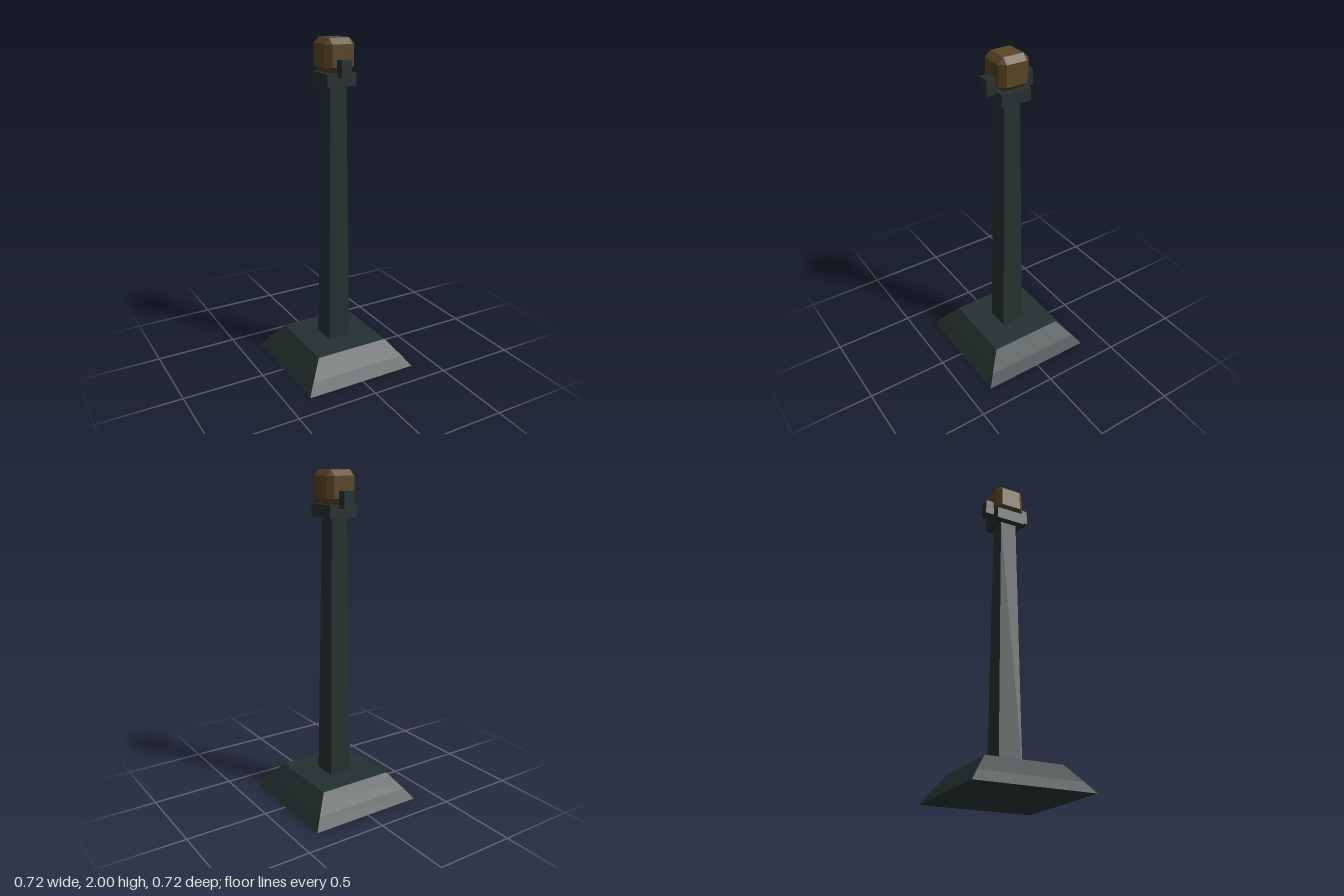
import * as THREE from 'three';
import { ConvexGeometry } from 'three/addons/geometries/ConvexGeometry.js';

const darkMetal = new THREE.MeshStandardMaterial({ name: 'darkMetal', color: 0x253231, side: THREE.DoubleSide });
const amber = new THREE.MeshStandardMaterial({ name: 'amber', color: 0x594626 });

// Square solid turned from a profile of [half width, height], bottom to top
function squareLathe(profile) {
  const points = profile.map(([half, y]) => new THREE.Vector2(half * Math.SQRT2, y));
  const geometry = new THREE.LatheGeometry(points, 4).rotateY(Math.PI / 4).toNonIndexed();
  geometry.computeVertexNormals();
  return geometry;
}

// Cube with all edges and corners cut: half is the outer size, inner the flat face
function chamferedCube(half, inner) {
  const points = [];
  for (const x of [-1, 1]) for (const y of [-1, 1]) for (const z of [-1, 1]) {
    points.push(
      new THREE.Vector3(x * half, y * inner, z * inner),
      new THREE.Vector3(x * inner, y * half, z * inner),
      new THREE.Vector3(x * inner, y * inner, z * half)
    );
  }
  return new ConvexGeometry(points);
}

export function createModel() {
  const model = new THREE.Group();
  model.name = 'lampPost';

  function add(name, geometry, material, x = 0, y = 0, z = 0) {
    const mesh = new THREE.Mesh(geometry, material);
    mesh.name = name;
    mesh.position.set(x, y, z);
    model.add(mesh);
  }

  // Hollow foot, open underneath
  add('base', squareLathe([[0.358, 0], [0.312, 0.064], [0.233, 0.164], [0, 0.164]]), darkMetal);

  // Tapered column and the block on top of it
  add('column', squareLathe([[0.072, 0.164], [0.052, 1.736]]), darkMetal);
  add('cap', new THREE.BoxGeometry(0.187, 0.075, 0.187), darkMetal, 0, 1.773, 0);

  // Upright brackets at front and back
  for (const [name, side] of [['frontBracket', 1], ['backBracket', -1]]) {
    add(name, new THREE.BoxGeometry(0.064, 0.095, 0.054), darkMetal, 0, 1.838, side * 0.121);
  }

  // Lamp
  add('lamp', chamferedCube(0.095, 0.062), amber, 0, 1.905, 0);

  return model;
}
